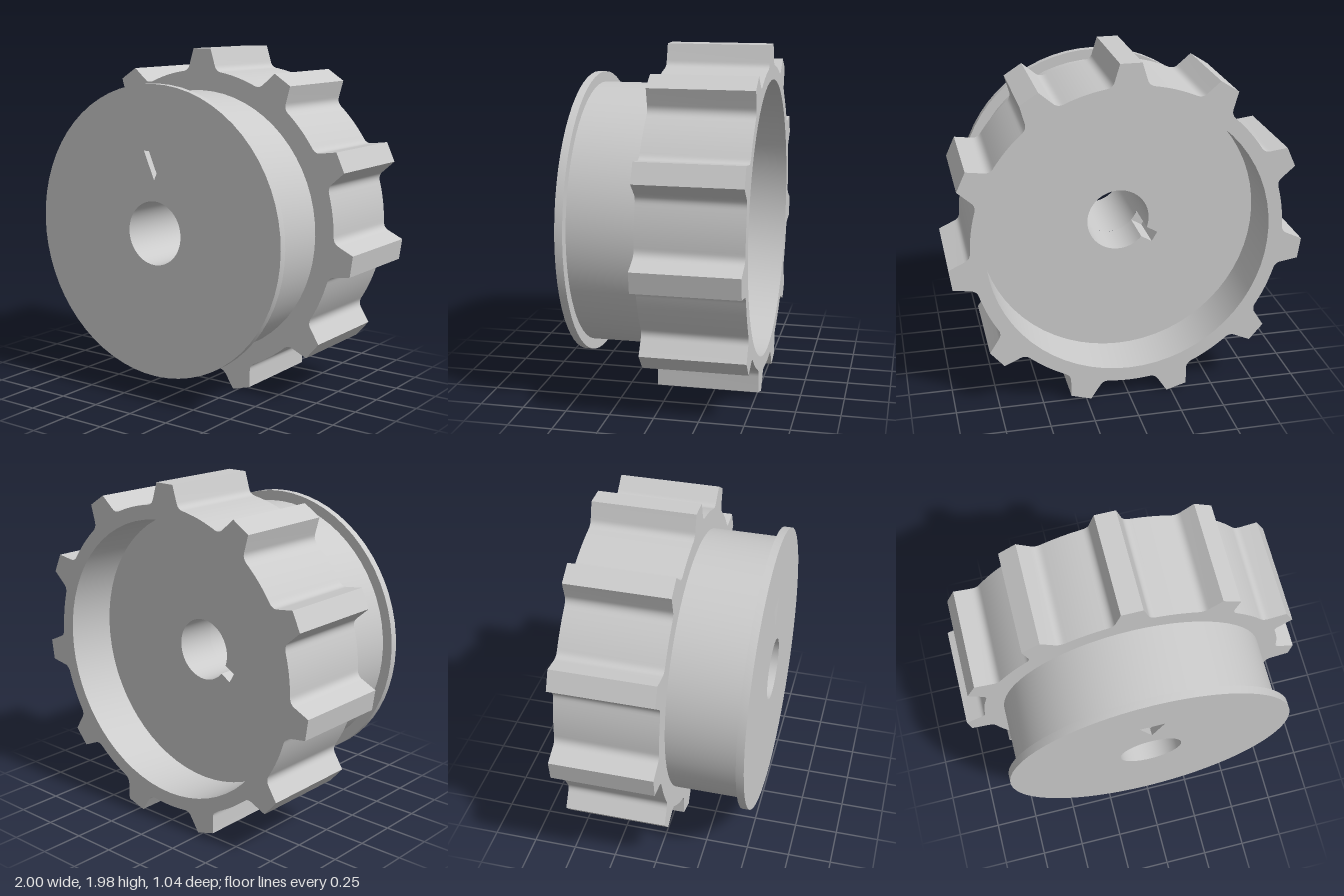
import * as THREE from 'three';
import { toCreasedNormals } from 'three/addons/utils/BufferGeometryUtils.js';

const CY = 0.978, TEETH = 11, SEG = 64;
const Z = { back: -0.517, floor: -0.22, key: 0.03, gear: 0.07, flange: 0.474, front: 0.518 };
const R = { tip: 1.002, root: 0.88, cavity: 0.8, hub: 0.765, flange: 0.825, bore: 0.18 };
const V = (x, y) => new THREE.Vector2(x, y);
const polar = (r, a) => V(r * Math.cos(a), r * Math.sin(a));

// Points on an arc, both ends included
const arc = (r, a0, a1, n) =>
  Array.from({ length: n + 1 }, (_, i) => polar(r, a0 + (a1 - a0) * i / n));
const circle = (r) => arc(r, 0, Math.PI * 2, SEG).slice(0, SEG);

// Counter-clockwise outline of the toothed rim
function gearOutline() {
  const fillet = new THREE.QuadraticBezierCurve(V(0.088, 0.91), V(0.097, 0.873), V(0.14, 0.869)).getPoints(6);
  const half = [V(0.06, R.tip), ...fillet];
  const tooth = [...half.slice().reverse(), ...half.map((p) => V(-p.x, p.y))];
  const step = Math.PI * 2 / TEETH, edge = Math.atan2(0.14, 0.869);
  const pts = [];
  for (let i = 0; i < TEETH; i++) {
    const a = i * step;
    tooth.forEach((p) => pts.push(p.clone().rotateAround(V(0, 0), a)));
    const mid = Math.PI / 2 + a;
    pts.push(...arc(R.root, mid + edge, mid + step - edge, 6).slice(1, -1));
  }
  return pts;
}

export function createModel() {
  const group = new THREE.Group();
  group.position.y = CY;
  const root = new THREE.Group();
  root.add(group);
  const material = new THREE.MeshStandardMaterial({ color: 0xcccccc });

  const add = (name, geometry) => {
    const mesh = new THREE.Mesh(geometry, material);
    mesh.name = name;
    group.add(mesh);
  };

  // Side wall swept along z; inward walls line a hole
  function wall(name, outline, z0, z1, inward = false) {
    const pts = inward ? outline.slice().reverse() : outline;
    const pos = [];
    pts.forEach((p, i) => {
      const q = pts[(i + 1) % pts.length];
      pos.push(p.x, p.y, z0, q.x, q.y, z0, q.x, q.y, z1);
      pos.push(p.x, p.y, z0, q.x, q.y, z1, p.x, p.y, z1);
    });
    const g = new THREE.BufferGeometry();
    g.setAttribute('position', new THREE.Float32BufferAttribute(pos, 3));
    g.computeVertexNormals();
    add(name, toCreasedNormals(g, 0.4));
  }

  // Flat face at z, looking forwards or backwards
  function face(name, outline, holes, z, backwards = false) {
    const shape = new THREE.Shape(outline);
    shape.holes = holes.map((h) => new THREE.Path(h));
    const g = new THREE.ShapeGeometry(shape);
    if (backwards) {
      g.index.array.reverse();
      g.computeVertexNormals();
    }
    add(name, g.translate(0, 0, z));
  }

  const gear = gearOutline();
  const cavity = circle(R.cavity), hub = circle(R.hub), flange = circle(R.flange), bore = circle(R.bore);

  // Toothed rim with its hollow back
  wall('toothedRim', gear, Z.back, Z.gear);
  face('rimBack', gear, [cavity], Z.back, true);
  face('rimFront', gear, [hub], Z.gear);
  wall('cavityWall', cavity, Z.back, Z.floor, true);

  // Bore with a blind keyway cut from the back
  const keyAngle = Math.PI * 7 / 6, keyHalf = 0.032, d = Math.asin(keyHalf / R.bore);
  const corner = (s) => V(0.25, s * keyHalf).rotateAround(V(0, 0), keyAngle);
  const keyedBore = [...arc(R.bore, keyAngle + d, keyAngle - d + Math.PI * 2, SEG), corner(-1), corner(1)];
  const keyEnd = [...arc(R.bore, keyAngle + d, keyAngle - d, 6), corner(-1), corner(1)];
  face('cavityFloor', cavity, [keyedBore], Z.floor, true);
  wall('keyedBore', keyedBore, Z.floor, Z.key, true);
  face('keywayEnd', keyEnd, [], Z.key, true);
  wall('bore', bore, Z.key, Z.front, true);

  // Smooth hub and front flange
  wall('hub', hub, Z.gear, Z.flange);
  face('flangeBack', flange, [hub], Z.flange, true);
  wall('flangeRim', flange, Z.flange, Z.front);

  // Front face with a sunken triangular pointer
  const pointer = [V(-0.07, 0.457), V(0, 0.297), V(0.07, 0.457)];
  face('frontFace', flange, [bore, pointer], Z.front);
  wall('pointerWall', pointer, Z.front - 0.04, Z.front, true);
  face('pointerFloor', pointer, [], Z.front - 0.04);

  return root;
}
